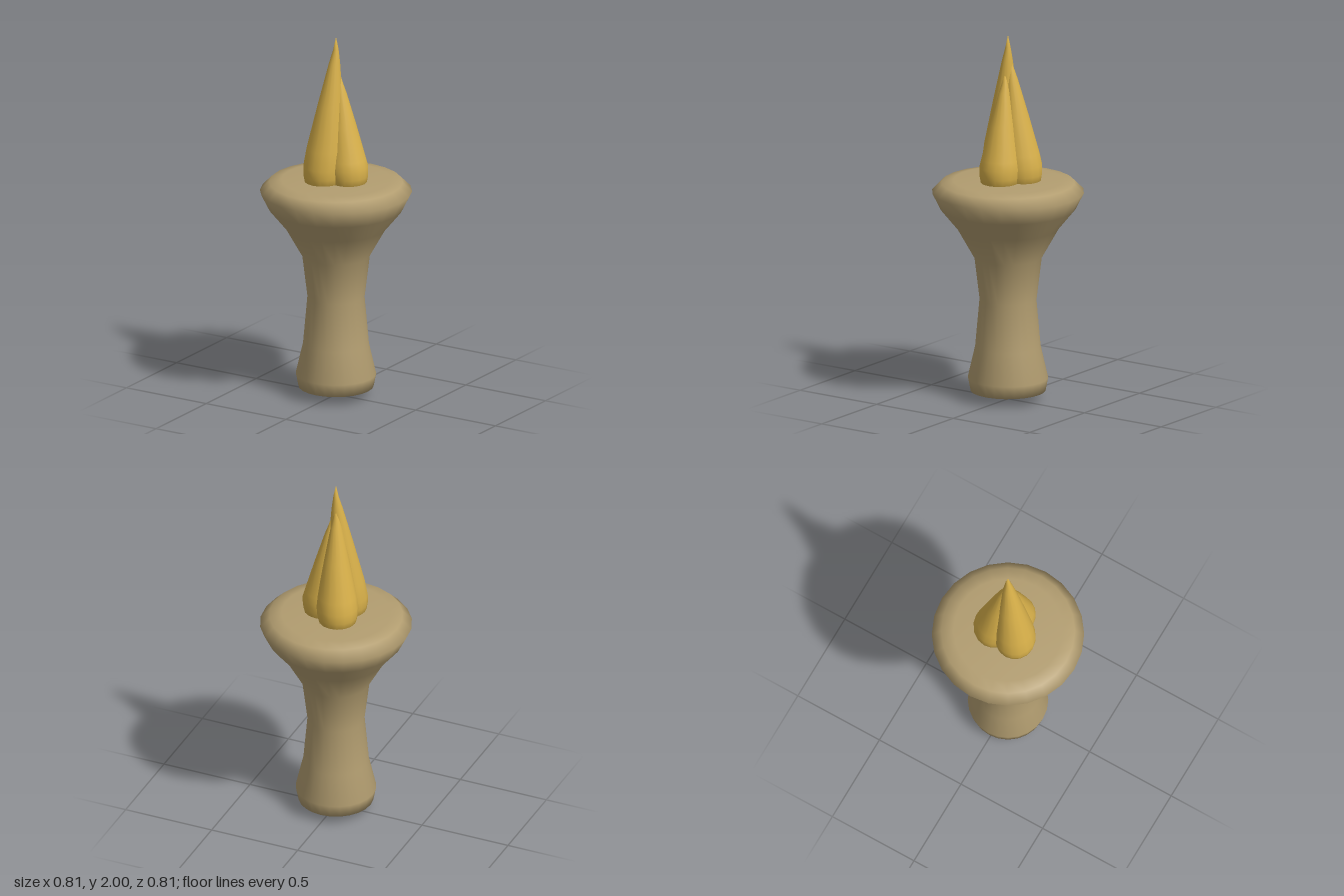
import * as THREE from 'three';
import { mergeVertices } from 'three/addons/utils/BufferGeometryUtils.js';

const material = (name, color) => {
  const m = new THREE.MeshStandardMaterial({ color });
  m.name = name;
  return m;
};

// Smooth turned solid from [radius, height] pairs; shift(y) moves each ring sideways.
function turned(profile, sides, shift = () => [0, 0]) {
  const geo = new THREE.LatheGeometry(profile.map(([r, y]) => new THREE.Vector2(r, y)), sides);
  const p = geo.attributes.position;
  for (let i = 0; i < p.count; i++) {
    const [dx, dz] = shift(p.getY(i));
    p.setX(i, p.getX(i) + dx);
    p.setZ(i, p.getZ(i) + dz);
  }
  geo.deleteAttribute('uv');
  geo.deleteAttribute('normal');
  const merged = mergeVertices(geo, 1e-5);
  merged.computeVertexNormals();
  return merged;
}

export function createModel() {
  const group = new THREE.Group();
  const wood = material('tan wood', 0xb29d70);
  const gold = material('golden flame', 0xd9b14a);

  // Handle with a flared, nearly flat head
  const handle = new THREE.Mesh(turned([
    [0, 0], [0.1, 0.024], [0.2, 0.05], [0.214, 0.12], [0.175, 0.29], [0.152, 0.55], [0.18, 0.78],
    [0.27, 0.94], [0.36, 1.05], [0.405, 1.14], [0.355, 1.19], [0.29, 1.203], [0, 1.21],
  ], 24), wood);
  handle.name = 'torchHandle';
  group.add(handle);

  // Three leaning flame spikes: name, angle around y, tip height, tip offset
  const spikes = [
    ['frontFlame', 120, 2.0, 0],
    ['backFlame', 240, 1.88, 0.015],
    ['leftFlame', 0, 1.8, 0.025],
  ];
  const base = 1.15;
  for (const [name, degrees, tip, tipOffset] of spikes) {
    const h = tip - base;
    const a = THREE.MathUtils.degToRad(degrees);
    const profile = [
      [0, base], [0.095, base + 0.02], [0.108, base + 0.09], [0.112, base + 0.14],
      [0.104, base + 0.28 * h], [0.068, base + 0.56 * h], [0.03, base + 0.83 * h],
      [0.014, base + 0.92 * h], [0, tip],
    ];
    const lean = (y) => {
      const t = THREE.MathUtils.clamp((y - base - 0.1) / (h * 0.8), 0, 1);
      const d = THREE.MathUtils.lerp(0.075, tipOffset, t);
      return [Math.cos(a) * d, Math.sin(a) * d];
    };
    const flame = new THREE.Mesh(turned(profile, 16, lean), gold);
    flame.name = name;
    group.add(flame);
  }
  return group;
}
